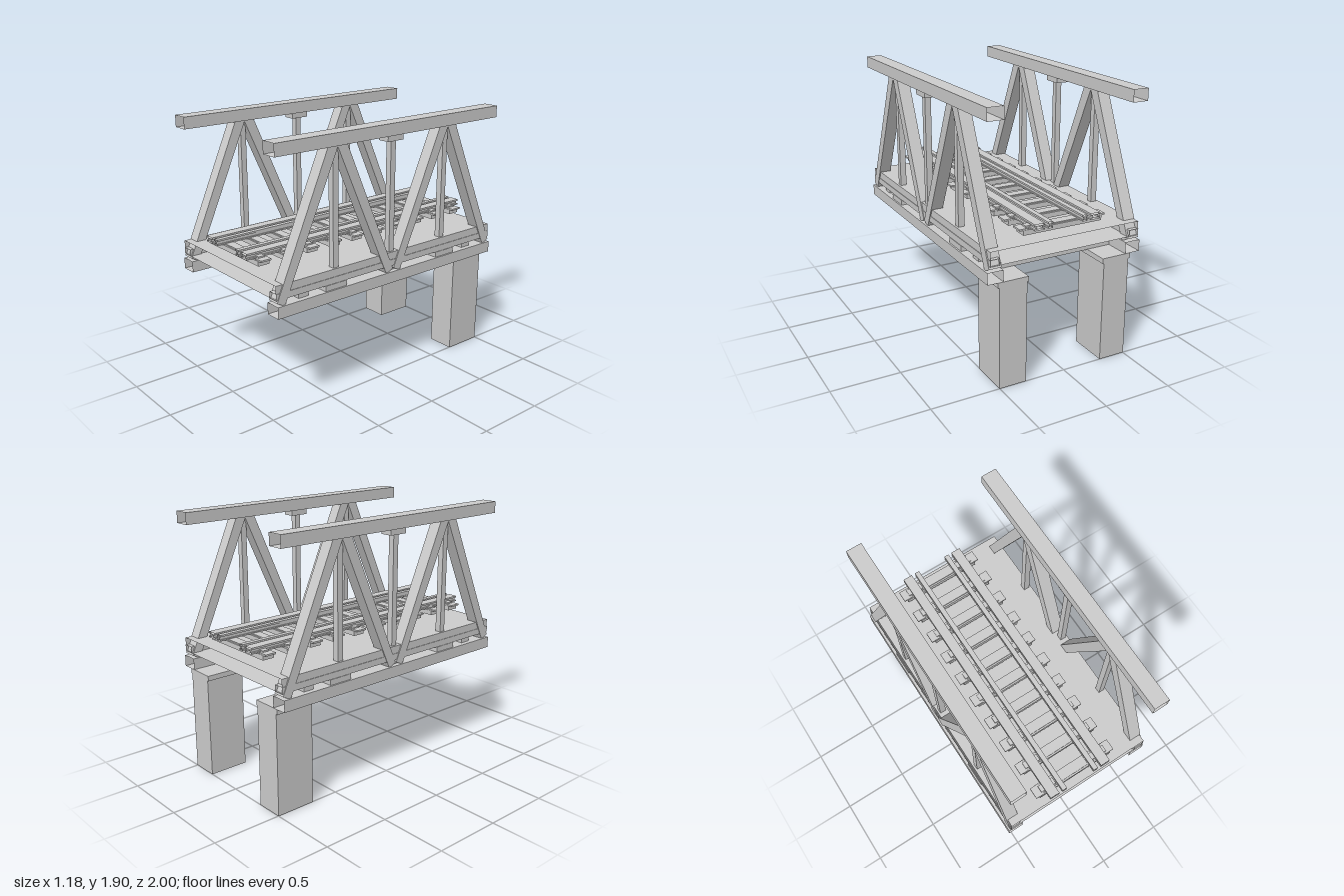
import * as THREE from 'three';

export function createModel() {
  const model = new THREE.Group();
  // Double-sided because the long beams are open at their ends
  const steel = new THREE.MeshStandardMaterial({ color: 0xcccccc, side: THREE.DoubleSide });
  steel.name = 'steelGrey';

  const add = (name, geometry) => {
    const mesh = new THREE.Mesh(geometry, steel);
    mesh.name = name;
    model.add(mesh);
    return mesh;
  };

  // Solid box given by its limits
  const block = (name, x0, x1, y0, y1, z0, z1) => {
    add(name, new THREE.BoxGeometry(x1 - x0, y1 - y0, z1 - z0))
      .position.set((x0 + x1) / 2, (y0 + y1) / 2, (z0 + z1) / 2);
  };

  // Full-length beam along z, open at both ends
  const openBeam = (name, x0, x1, y0, y1) => {
    const g = new THREE.BoxGeometry(x1 - x0, y1 - y0, 2);
    g.setIndex(Array.from(g.index.array).slice(0, 24)); // drop the z end faces
    g.clearGroups();
    add(name, g).position.set((x0 + x1) / 2, (y0 + y1) / 2, 0);
  };

  // Truss member leaning away from its apex, foot cut square to its length
  const diagonal = (name, x0, x1, zApex, lean) => {
    const outline = [[0.437, 0.842], [0.497, 0.872], [0.059, 1.868], [-0.025, 1.868]];
    const shape = new THREE.Shape(
      outline.map(([d, y]) => new THREE.Vector2(-(zApex + lean * d), y)));
    const g = new THREE.ExtrudeGeometry(shape, { depth: x1 - x0, bevelEnabled: false });
    g.rotateY(Math.PI / 2); // shape x becomes -z, depth becomes +x
    add(name, g).position.x = x0;
  };

  // Deck and its cross beams
  openBeam('deck', -0.57, 0.57, 0.89, 0.99);
  for (const z of [-0.77, 0, 0.77]) {
    block('crossBeam', -0.553, 0.553, 0.767, 0.883, z - 0.04, z + 0.04);
  }

  for (const side of [-1, 1]) {
    // Limits on the +x side, mirrored for the other one
    const span = (a, b) => (side > 0 ? [a, b] : [-b, -a]);
    const outer = span(0.475, 0.59);
    const web = span(0.487, 0.578);

    // Chords
    openBeam('topChord', ...outer, 1.82, 1.905);
    openBeam('lowerBeam', ...outer, 0.769, 0.851);
    openBeam('tieStrip', ...span(0.5, 0.574), 0.89, 0.935);

    // Truss bays
    for (const zApex of [-0.5, 0.5]) {
      diagonal('diagonal', ...web, zApex, 1);
      diagonal('diagonal', ...web, zApex, -1);
      const zBlock = zApex * 1.03;
      block('bearingBlock', ...web, 0.851, 0.89, zBlock - 0.09, zBlock + 0.09);
    }
    for (const z of [-0.5, 0, 0.5]) {
      block('vertical', ...span(0.51, 0.555), 0.99, 1.82, z - 0.022, z + 0.022);
    }
    block('topGusset', ...web, 1.78, 1.82, -0.07, 0.07);

    // Piers at the back
    block('pier', ...span(0.3, 0.503), 0, 0.732, -1, -0.705);
    block('pierCap', ...span(0.29, 0.515), 0.732, 0.769, -1, -0.685);

    // Running rail and inner guard rail: foot, web and head
    for (const [a, b] of [[0.177, 0.25], [0.114, 0.15]]) {
      const inset = (b - a) * 0.22;
      openBeam('railFoot', ...span(a, b), 1.07, 1.08);
      openBeam('railWeb', ...span(a + inset, b - inset), 1.08, 1.1);
      openBeam('railHead', ...span(a, b), 1.1, 1.113);
    }
  }

  // Sleepers with end plates and rail clips
  for (let i = 0; i < 10; i++) {
    const z = -0.9 + i * 0.2;
    block('sleeper', -0.3, 0.3, 1.03, 1.065, z - 0.045, z + 0.045);
    block('sleeperTop', -0.27, 0.27, 1.065, 1.073, z - 0.033, z + 0.033);
    for (const s of [-1, 1]) {
      block('endPlate', s * 0.295 - 0.033, s * 0.295 + 0.033, 1.063, 1.075, z - 0.042, z + 0.042);
      block('railClip', s * 0.215 - 0.06, s * 0.215 + 0.06, 1.073, 1.085, z - 0.025, z + 0.025);
    }
  }

  return model;
}
